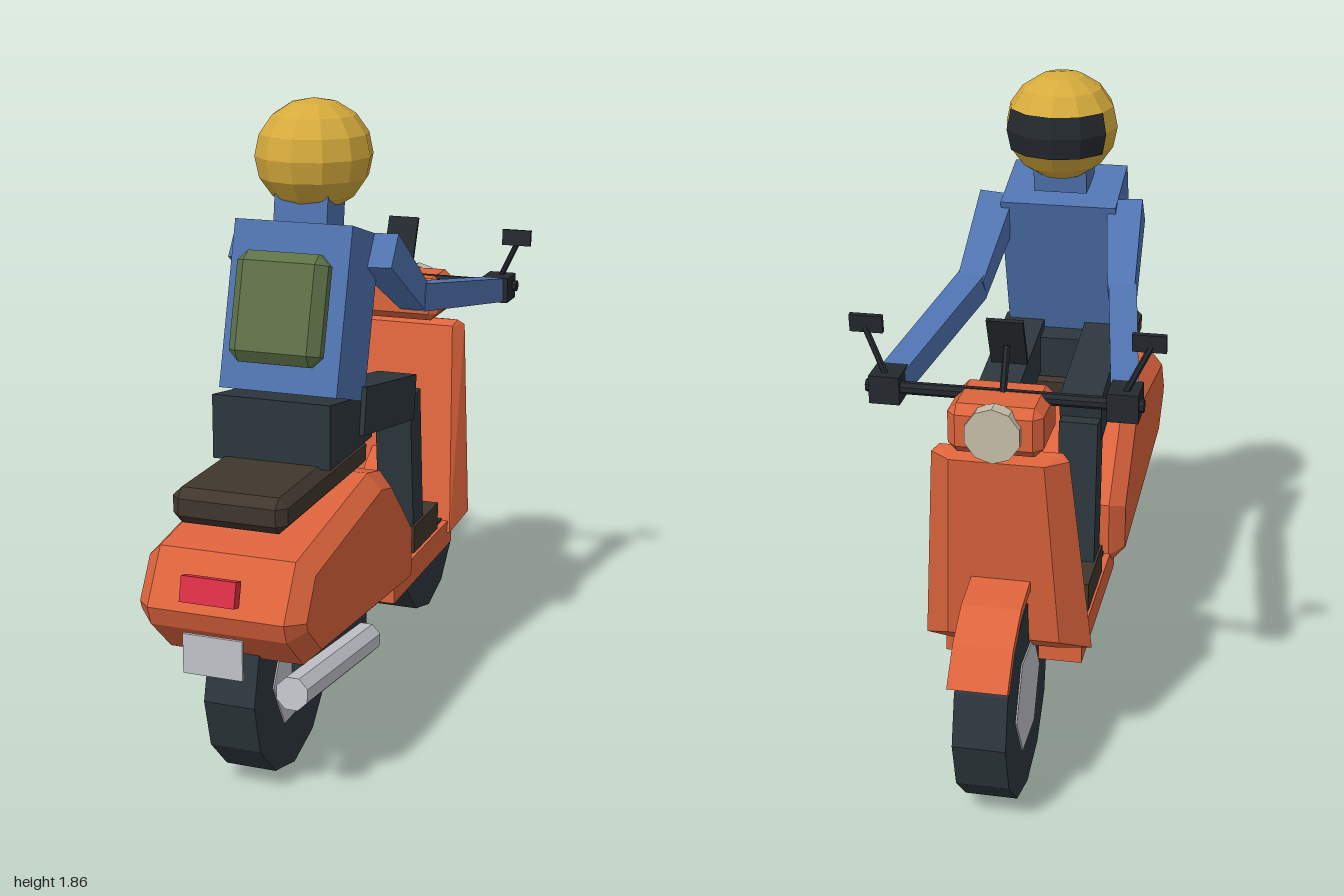
import * as THREE from 'three';
import { ConvexGeometry } from 'three/addons/geometries/ConvexGeometry.js';

const mat = (name, color, side = THREE.FrontSide) => {
  const m = new THREE.MeshStandardMaterial({ color, side, flatShading: true });
  m.name = name;
  return m;
};

export function createModel() {
  const model = new THREE.Group();
  model.name = 'scooterAndRider';
  const orange = mat('orangePaint', 0xdc643c);
  const dark = mat('darkCharcoal', 0x2c363c);
  const black = mat('black', 0x24292e);
  const blue = mat('blueJacket', 0x5073b0);
  const gold = mat('goldHelmet', 0xd6ab3c);
  const green = mat('greenBag', 0x5e7148);
  const brown = mat('brownLeather', 0x40362d);
  const red = mat('redLens', 0xdc2f45);
  const silver = mat('silver', 0xc0c3c8);
  const lens = mat('headlightLens', 0xc4bda6);

  const add = (name, geo, material, x = 0, y = 0, z = 0, rx = 0) => {
    const m = new THREE.Mesh(geo, material);
    m.name = name;
    m.position.set(x, y, z);
    m.rotation.x = rx;
    model.add(m);
    return m;
  };
  const box = (name, material, w, h, d, x, y, z, rx = 0) =>
    add(name, new THREE.BoxGeometry(w, h, d), material, x, y, z, rx);

  // Straight part between two points; four sides give a square section
  const rod = (name, material, a, b, r0, r1 = r0, sides = 4) => {
    const p = new THREE.Vector3(...a), q = new THREE.Vector3(...b);
    const dir = q.clone().sub(p);
    const geo = new THREE.CylinderGeometry(r1, r0, dir.length(), sides);
    geo.rotateY(Math.PI / sides);
    const m = add(name, geo, material);
    m.position.copy(p).add(q).multiplyScalar(0.5);
    // Keep the local x axis level so square sections do not twist
    const yA = dir.normalize();
    const zA = new THREE.Vector3(1, 0, 0).cross(yA).normalize();
    const xA = yA.clone().cross(zA);
    m.quaternion.setFromRotationMatrix(new THREE.Matrix4().makeBasis(xA, yA, zA));
    return m;
  };

  // Outline in (z, y) extruded across x, with optional chamfered edges
  const sideExtrude = (pts, width, bevel = 0) => {
    const shape = new THREE.Shape(pts.map(([z, y]) => new THREE.Vector2(-z, y)));
    const geo = new THREE.ExtrudeGeometry(shape, {
      depth: width - 2 * bevel, bevelEnabled: bevel > 0, bevelSegments: 1,
      bevelSize: bevel, bevelThickness: bevel, bevelOffset: -bevel,
    });
    geo.translate(0, 0, bevel - width / 2);
    return geo.rotateY(Math.PI / 2);
  };

  // Box with every edge cut
  const chamferBox = (w, h, d, c) => {
    const pts = [];
    for (const [sx, sy, sz] of [1, -1].flatMap(a => [1, -1].flatMap(b => [1, -1].map(e => [a, b, e])))) {
      const [x, y, z] = [sx * w / 2, sy * h / 2, sz * d / 2];
      pts.push(new THREE.Vector3(x, y - sy * c, z - sz * c),
        new THREE.Vector3(x - sx * c, y, z - sz * c),
        new THREE.Vector3(x - sx * c, y - sy * c, z));
    }
    return new ConvexGeometry(pts);
  };

  // Wheels
  for (const [name, z] of [['front', -0.705], ['rear', 0.575]]) {
    add(name + 'Tire', new THREE.CylinderGeometry(0.29, 0.29, 0.148, 12).rotateZ(Math.PI / 2), dark, 0, 0.29, z);
    const hub = new THREE.CylinderGeometry(0.16, 0.16, 0.156, 6).rotateZ(Math.PI / 2);
    add(name + 'Hub', hub, silver, 0, 0.295, z);
  }

  // Front fender, an arc over the wheel
  const arc = [];
  for (let i = 0; i <= 6; i++) {
    const a = Math.PI * (1 / 6 + i / 9);
    arc.push([a, 0.35]);
    arc.unshift([a, 0.32]);
  }
  add('frontFender', sideExtrude(arc.map(([a, r]) => [-0.7 - r * Math.cos(a), 0.3 + r * Math.sin(a)]), 0.166), orange);

  // Rear bodywork, floor and leg shield
  add('rearBody', sideExtrude([
    [0.95, 0.58], [0.86, 0.725], [0.3, 0.8], [0.19, 0.775], [-0.03, 0.56],
    [-0.03, 0.385], [0.01, 0.345], [0.81, 0.415], [0.93, 0.525]], 0.48, 0.045), orange);
  box('floorboard', orange, 0.4, 0.085, 0.6, 0, 0.35, -0.24);
  box('floorMat', dark, 0.36, 0.009, 0.46, 0, 0.397, -0.26);
  const shield = [];
  for (const s of [1, -1]) {
    for (const [x, y, z] of [
      [0.16, 1.02, -0.648], [0.21, 0.355, -0.487], [0.17, 1.037, -0.675], [0.19, 1.02, -0.69],
      [0.24, 0.40, -0.6], [0.2, 0.345, -0.515], [0.13, 1.022, -0.74], [0.16, 0.45, -0.675], [0.15, 0.41, -0.635]]) {
      shield.push(new THREE.Vector3(s * x, y, z));
    }
  }
  add('legShield', new ConvexGeometry(shield), orange);

  // Seat, engine, exhaust and tail
  add('seat', chamferBox(0.33, 0.1, 0.665, 0.026), brown, 0, 0.838, 0.53);
  box('engine', dark, 0.08, 0.16, 0.435, 0.108, 0.3, 0.383);
  rod('exhaust', silver, [0.177, 0.345, 0.85], [0.177, 0.27, 0.255], 0.048, 0.048, 8);
  box('tailLight', red, 0.156, 0.07, 0.035, 0, 0.66, 0.975, -0.25);
  box('rearPlate', silver, 0.17, 0.112, 0.009, 0, 0.472, 0.963);

  // Headset, headlight, handlebar and gauge
  add('headset', chamferBox(0.26, 0.14, 0.21, 0.025), orange, 0, 1.12, -0.66);
  add('headlight', new THREE.CylinderGeometry(0.078, 0.078, 0.045, 10).rotateX(Math.PI / 2), lens, 0, 1.12, -0.763);
  rod('handlebar', black, [-0.38, 1.175, -0.635], [0.38, 1.175, -0.635], 0.018, 0.018, 8).rotation.set(0, 0, Math.PI / 2);
  rod('gaugeStem', black, [0, 1.18, -0.645], [0, 1.3, -0.59], 0.01, 0.01, 6);
  box('gaugePanel', black, 0.1, 0.155, 0.012, 0, 1.31, -0.585, -0.4);

  // Rider
  const tilt = -0.28;
  box('torso', blue, 0.35, 0.475, 0.24, 0, 1.268, 0.32, tilt);
  add('backpack', chamferBox(0.27, 0.31, 0.09, 0.03), green, 0, 1.305, 0.472, tilt);
  box('neck', blue, 0.16, 0.1, 0.14, 0, 1.55, 0.245, tilt / 2);
  add('helmet', new THREE.SphereGeometry(1, 12, 8), gold, 0, 1.695, 0.206).scale.set(0.168, 0.16, 0.182);
  add('visor', new THREE.SphereGeometry(1.02, 4, 2, Math.PI * 7 / 6, Math.PI * 2 / 3, Math.PI * 3 / 8, Math.PI / 4),
    black, 0, 1.695, 0.206).scale.set(0.168, 0.16, 0.182);
  add('hips', sideExtrude([[0.55, 0.88], [0.55, 1.065], [0.2, 1.01], [0.2, 0.88]].reverse(), 0.35), dark);

  // Paired parts: limbs, hands, shoes and mirrors
  for (const [side, s] of [['left', 1], ['right', -1]]) {
    rod(side + 'UpperArm', blue, [s * 0.195, 1.435, 0.22], [s * 0.225, 1.25, -0.035], 0.076, 0.056);
    rod(side + 'Forearm', blue, [s * 0.225, 1.255, -0.02], [s * 0.32, 1.17, -0.585], 0.058, 0.053);
    box(side + 'Hand', black, 0.085, 0.08, 0.1, s * 0.325, 1.172, -0.61);
    box(side + 'Thigh', dark, 0.125, 0.14, 0.47, s * 0.127, 0.945, 0.07, -0.165);
    box(side + 'Shin', dark, 0.115, 0.47, 0.1, s * 0.13, 0.68, -0.192, 0.1);
    box(side + 'Shoe', brown, 0.11, 0.088, 0.25, s * 0.14, 0.443, -0.275);
    rod(side + 'MirrorStem', black, [s * 0.32, 1.19, -0.63], [s * 0.39, 1.33, -0.598], 0.009, 0.009, 6);
    box(side + 'Mirror', black, 0.092, 0.05, 0.015, s * 0.385, 1.34, -0.598, -0.1);
  }
  return model;
}
